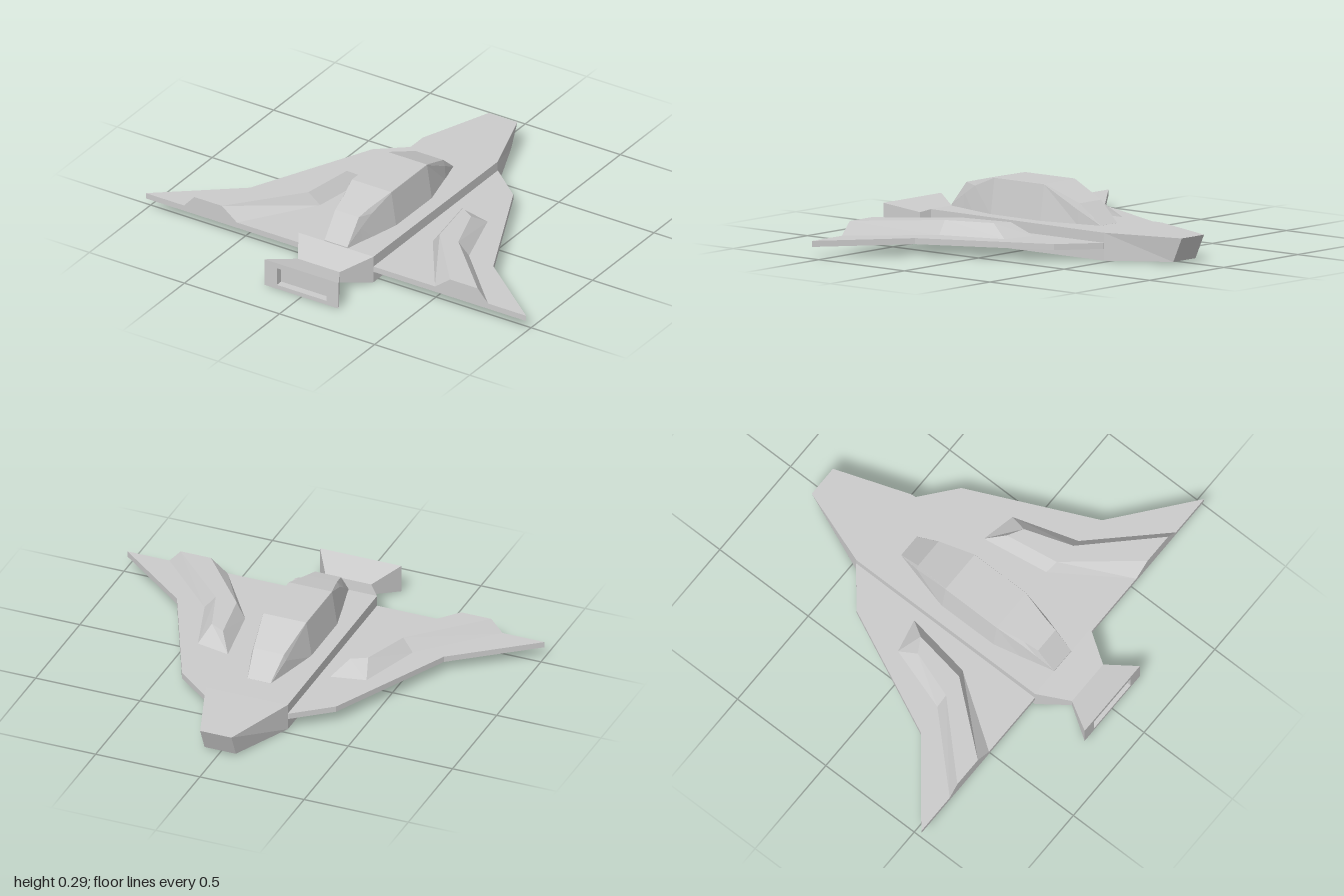
import * as THREE from 'three';

const material = new THREE.MeshStandardMaterial({
  color: 0xcccccc, flatShading: true, side: THREE.DoubleSide,
});

// Skin rings of [x, y, z] points (counter-clockwise seen from +z, ordered towards +z), with end caps.
function loft(name, rings) {
  const pos = [];
  const tri = (a, b, c) => pos.push(...a, ...b, ...c);
  const n = rings[0].length;
  for (let r = 0; r < rings.length - 1; r++) {
    const a = rings[r], b = rings[r + 1];
    for (let i = 0; i < n; i++) {
      const j = (i + 1) % n;
      tri(a[i], a[j], b[j]);
      tri(a[i], b[j], b[i]);
    }
  }
  const first = rings[0], last = rings[rings.length - 1];
  for (let i = 1; i < n - 1; i++) {
    tri(first[0], first[i + 1], first[i]);
    tri(last[0], last[i], last[i + 1]);
  }
  const geometry = new THREE.BufferGeometry();
  geometry.setAttribute('position', new THREE.Float32BufferAttribute(pos, 3));
  geometry.computeVertexNormals();
  const mesh = new THREE.Mesh(geometry, material);
  mesh.name = name;
  return mesh;
}

// Mirror rings to -x, reversing each so that faces still point outwards
const mirror = rings => rings.map(ring => ring.map(([x, y, z]) => [-x, y, z]).reverse());

// Rectangular section; the bottom edge may sit at a different z
const rect = (w, y0, y1, z, zBottom = z) =>
  [[-w, y0, zBottom], [w, y0, zBottom], [w, y1, z], [-w, y1, z]];

export function createModel() {
  const model = new THREE.Group();
  model.name = 'spacecraft';

  // Fuselage: slanted nose, straight body, pinched waist, flared exhaust with a recess
  model.add(loft('fuselage', [
    rect(0.075, 0.01, 0.12, -0.82, -0.77),
    rect(0.197, 0, 0.125, -0.47),
    rect(0.197, 0, 0.13, 0.54),
    rect(0.11, 0.04, 0.092, 0.68),
    rect(0.195, 0, 0.13, 0.82),
    rect(0.13, 0.02, 0.105, 0.82),
    rect(0.13, 0.02, 0.105, 0.785),
  ]));

  // Canopy: [z, base half-width, shoulder half-width, shoulder y, top half-width, top y]
  const canopy = [
    [-0.33, 0.056, 0.056, 0.125, 0.055, 0.126],
    [-0.22, 0.085, 0.082, 0.188, 0.073, 0.217],
    [-0.04, 0.13, 0.104, 0.288, 0.103, 0.29],
    [0.25, 0.13, 0.104, 0.288, 0.103, 0.29],
    [0.38, 0.1, 0.085, 0.238, 0.073, 0.262],
    [0.45, 0.082, 0.074, 0.195, 0.062, 0.245],
    [0.54, 0.06, 0.06, 0.132, 0.06, 0.135],
  ];
  model.add(loft('canopy', canopy.map(([z, b, s, sy, t, ty]) => [
    [-b, 0.12, z], [b, 0.12, z], [s, sy, z], [t, ty, z], [-t, ty, z], [-s, sy, z],
  ])));

  // Thin swept wing: [z, outer x]
  const wing = [[-0.47, 0.2], [-0.33, 0.37], [0.25, 0.64], [0.54, 1]].map(([z, x]) => [
    [0.19, 0.053, z], [x, 0.053, z], [x, 0.08, z], [0.19, 0.08, z],
  ]);

  // Raised bent fairing on the wing, with a sloping front face
  const fairing = [
    [[0.245, 0.079, -0.105], [0.405, 0.079, -0.07], [0.375, 0.14, 0.02], [0.305, 0.14, -0.02]],
    [[0.295, 0.079, 0.21], [0.5, 0.079, 0.23], [0.45, 0.14, 0.24], [0.345, 0.14, 0.23]],
    [[0.52, 0.079, 0.54], [0.8, 0.079, 0.54], [0.745, 0.14, 0.54], [0.6, 0.14, 0.54]],
  ];

  model.add(loft('leftWing', wing), loft('rightWing', mirror(wing)));
  model.add(loft('leftFairing', fairing), loft('rightFairing', mirror(fairing)));
  return model;
}
